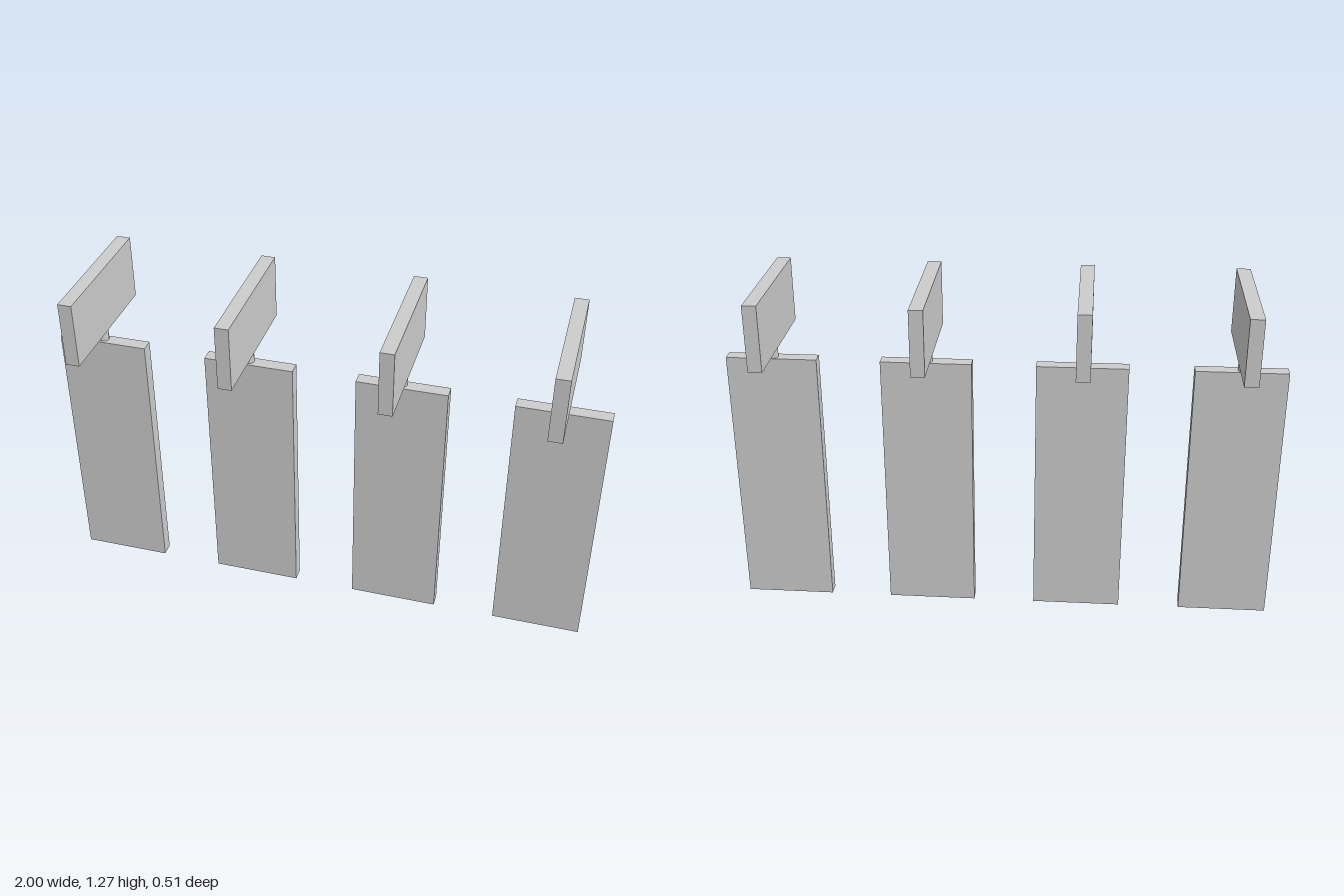
import * as THREE from 'three';

const material = new THREE.MeshStandardMaterial({ color: 0xcccccc, flatShading: true });
const openMaterial = new THREE.MeshStandardMaterial({ color: 0xcccccc, flatShading: true, side: THREE.DoubleSide });

function part(name, geometry, mat, x, y, z) {
  const mesh = new THREE.Mesh(geometry, mat);
  mesh.name = name;
  mesh.position.set(x, y, z);
  return mesh;
}

// Box without its underside, so the hollow shows from below
function openBottomBox(w, h, d) {
  const geometry = new THREE.BoxGeometry(w, h, d);
  const bottom = geometry.groups[3];
  const index = Array.from(geometry.index.array);
  index.splice(bottom.start, bottom.count);
  geometry.setIndex(index);
  geometry.clearGroups();
  return geometry;
}

export function createModel() {
  const model = new THREE.Group();
  model.name = 'signPosts';

  const panelHeight = 0.985, neckHeight = 0.045, headHeight = 0.24;
  const panelGeometry = openBottomBox(0.328, panelHeight, 0.049);
  const neckGeometry = new THREE.CylinderGeometry(0.019, 0.019, neckHeight, 12);
  const headGeometry = new THREE.BoxGeometry(0.05, headHeight, 0.512);

  // Four identical units in a row
  for (let i = 0; i < 4; i++) {
    const unit = new THREE.Group();
    unit.name = 'unit' + (i + 1);
    unit.position.x = (i - 1.5) * 0.5573;
    unit.add(
      part('panel', panelGeometry, openMaterial, 0, panelHeight / 2, 0),
      part('neck', neckGeometry, material, -0.004, panelHeight + neckHeight / 2, -0.002),
      part('head', headGeometry, material, -0.005, panelHeight + neckHeight + headHeight / 2, 0)
    );
    model.add(unit);
  }
  return model;
}
